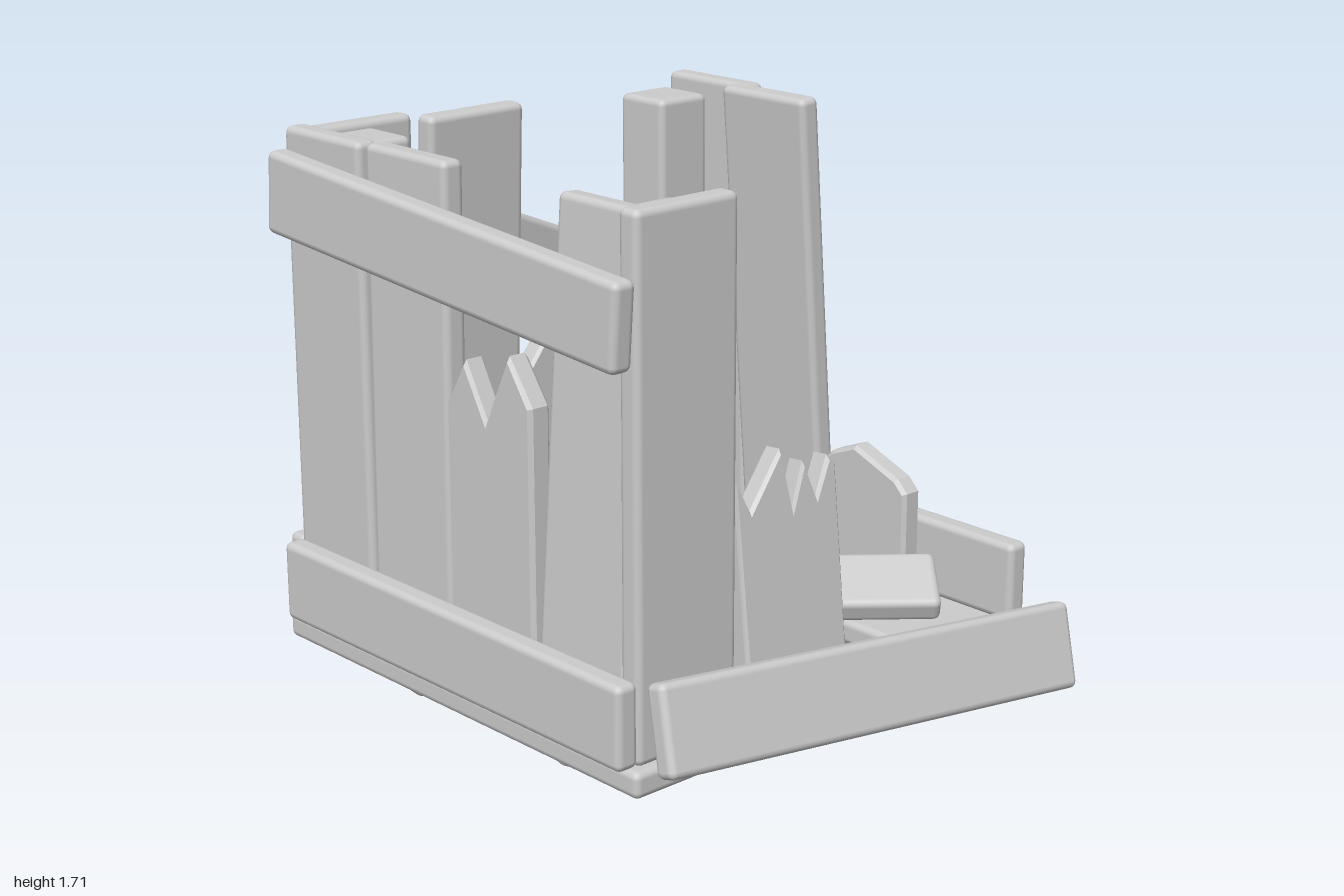
import * as THREE from 'three';
import { RoundedBoxGeometry } from 'three/addons/geometries/RoundedBoxGeometry.js';

const FLOOR = 0.17;
const THICK = 0.075;

export function createModel() {
  const crate = new THREE.Group();
  const material = new THREE.MeshStandardMaterial({ color: 0xcccccc });

  function place(name, geometry, pos, rot) {
    const mesh = new THREE.Mesh(geometry, material);
    mesh.name = name;
    mesh.position.set(...pos);
    mesh.rotation.set(...rot, 'ZYX');
    crate.add(mesh);
  }

  // Whole board, positioned by its centre
  function board(name, size, pos, rot = [0, 0, 0]) {
    place(name, new RoundedBoxGeometry(...size, 2, 0.022), pos, rot);
  }

  // Standing plank, positioned and tilted at the middle of its foot
  function plank(name, size, pos, rot = [0, 0, 0]) {
    const g = new RoundedBoxGeometry(...size, 2, 0.022);
    g.translate(0, size[1] / 2, 0);
    place(name, g, pos, rot);
  }

  // Snapped plank: jagged top given as [x, y] points from left to right
  function brokenPlank(name, top, pos, rot = [0, 0, 0]) {
    const bevel = 0.012;
    const shape = new THREE.Shape();
    shape.moveTo(top[0][0], 0);
    shape.lineTo(top[top.length - 1][0], 0);
    for (const [x, y] of [...top].reverse()) shape.lineTo(x, y);
    shape.closePath();
    const g = new THREE.ExtrudeGeometry(shape, {
      depth: THICK - 2 * bevel, bevelEnabled: true, bevelSize: bevel,
      bevelThickness: bevel, bevelOffset: -bevel, bevelSegments: 1,
    });
    g.translate(0, 0, bevel - THICK / 2);
    place(name, g, pos, rot);
  }

  // Floor planks, one missing
  board('floorPlank', [0.39, 0.08, 1.61], [-0.605, 0.13, -0.085]);
  board('floorPlank', [0.39, 0.08, 1.63], [-0.2, 0.125, -0.075], [0.005, 0, 0]);
  board('floorPlank', [0.39, 0.08, 1.61], [0.605, 0.13, -0.085]);

  // Skewed runners under the floor
  board('runner', [1.36, 0.08, 0.33], [0, 0.048, 0.23], [0, 0.28, 0]);
  board('runner', [1.38, 0.08, 0.33], [0.01, 0.048, -0.44], [0, -0.14, 0]);

  // Corner posts, the front right one missing
  plank('cornerPost', [0.2, 1.5, 0.2], [-0.6, FLOOR, -0.685]);
  plank('cornerPost', [0.2, 1.48, 0.2], [0.59, FLOOR, -0.685]);
  plank('cornerPost', [0.2, 1.47, 0.2], [-0.495, FLOOR, 0.515]);

  // Front wall
  plank('frontPlank', [0.365, 1.53, THICK], [-0.59, FLOOR, 0.66]);
  brokenPlank('frontBrokenPlank', [
    [-0.185, 0.78], [-0.135, 0.68], [-0.015, 0.83], [0.015, 0.65],
    [0.065, 0.78], [0.105, 0.67], [0.155, 0.78], [0.185, 0.75],
  ], [-0.215, 0.12, 0.735], [-0.11, -0.06, 0]);

  // Back wall
  plank('backPlank', [0.42, 1.52, THICK], [-0.56, FLOOR, -0.815]);
  plank('backPlank', [0.365, 1.52, THICK], [-0.15, FLOOR, -0.815], [0.05, 0, 0.006]);
  brokenPlank('backBrokenPlank', [
    [-0.185, 0.71], [-0.135, 0.62], [-0.015, 0.77], [0.025, 0.58],
    [0.065, 0.72], [0.1, 0.62], [0.185, 0.72],
  ], [0.215, FLOOR, -0.815]);
  brokenPlank('backBrokenPlank', [
    [-0.185, 0.9], [-0.08, 1.05], [0.02, 0.85], [0.1, 1.04], [0.185, 0.92],
  ], [0.59, FLOOR, -0.815]);

  // Left wall as seen on the page's left side
  plank('sidePlank', [THICK, 1.53, 0.365], [-0.735, FLOOR, -0.665]);
  plank('sidePlank', [THICK, 1.53, 0.365], [-0.735, FLOOR, -0.29], [0, 0, -0.01]);
  brokenPlank('sideBrokenPlank', [
    [-0.185, 0.91], [-0.09, 1.04], [0.01, 0.83], [0.1, 0.99], [0.185, 0.85],
  ], [-0.735, FLOOR, 0.08], [0, Math.PI / 2, 0]);
  plank('sidePlank', [THICK, 1.5, 0.36], [-0.735, FLOOR, 0.445], [0, 0, -0.07]);

  // Opposite side wall: upright, leaning and snapped planks
  plank('sidePlank', [THICK, 1.53, 0.37], [0.73, FLOOR, -0.59]);
  plank('sidePlank', [THICK, 1.55, 0.36], [0.735, FLOOR, -0.225], [0, 0, 0.08]);
  brokenPlank('sideBrokenPlank', [
    [-0.18, 0.34], [-0.14, 0.38], [0.04, 0.45], [0.14, 0.41], [0.18, 0.37],
  ], [0.72, FLOOR, 0.14], [0, Math.PI / 2, 0]);

  // Lower outer boards on both sides and the back
  for (const s of [-1, 1]) {
    board('lowerSideBoard', [THICK, 0.25, 1.54], [s * 0.8, 0.295, -0.08]);
  }
  board('lowerBackBoard', [1.54, 0.25, THICK], [0, 0.295, -0.88]);

  // Upper outer boards knocked out of level
  board('upperSideBoard', [THICK, 0.25, 1.54], [-0.805, 1.455, -0.08], [0.075, 0, 0]);
  board('upperBackBoard', [1.52, 0.245, THICK], [-0.015, 1.225, -0.925], [0, 0.055, -0.39]);

  // Fallen front board and loose board lying inside
  board('lowerFrontBoard', [1.53, 0.26, THICK], [-0.02, 0.245, 0.855], [-0.3, -0.095, -0.083]);
  board('looseBoard', [1.46, 0.08, 0.23], [0.07, 0.28, 0.04], [0.4, -0.71, 0]);

  return crate;
}
